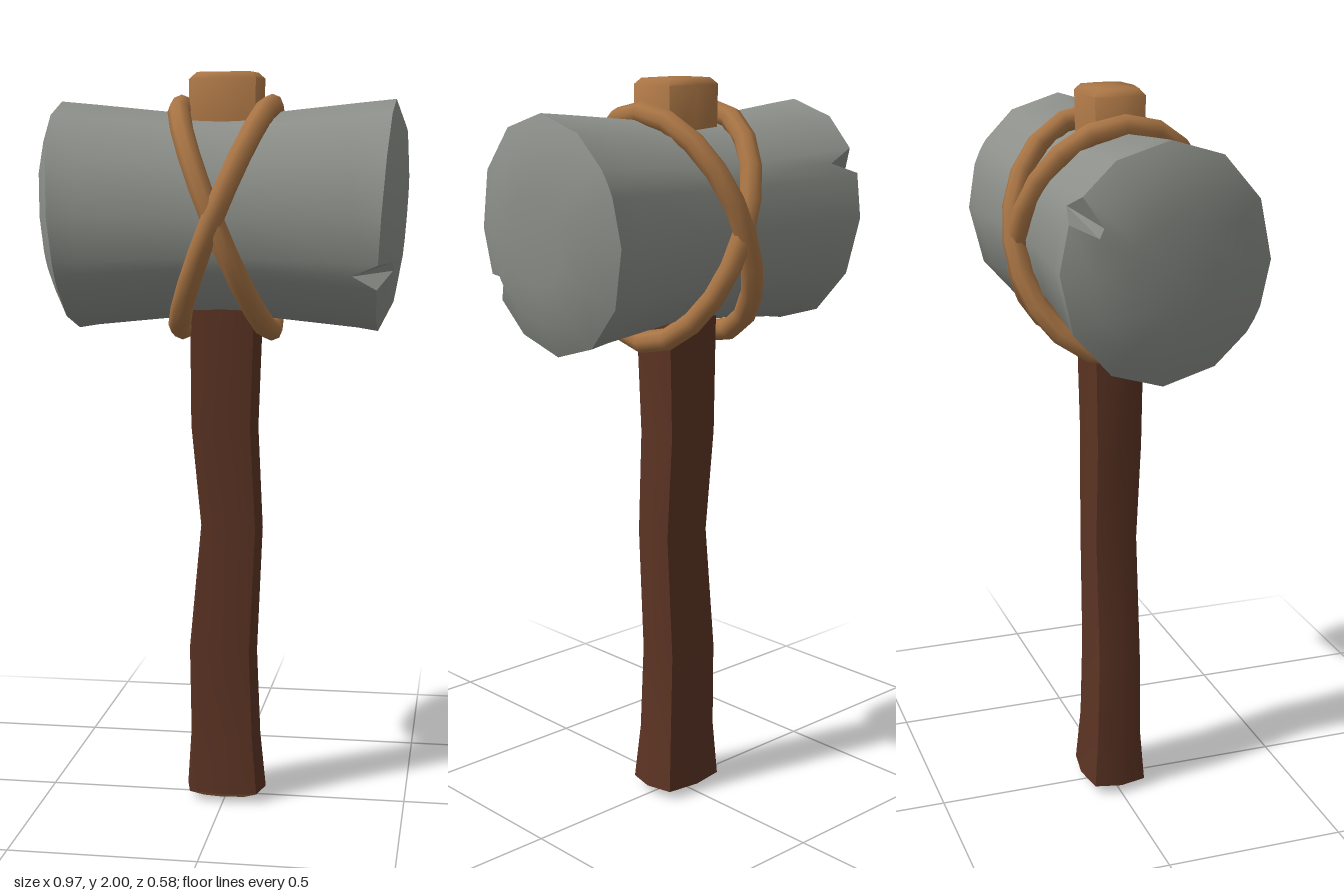
import * as THREE from 'three';
import { toCreasedNormals } from 'three/addons/utils/BufferGeometryUtils.js';

const V = (x, y, z) => new THREE.Vector3(x, y, z);

// Skins a list of closed rings; collapsed triangles are left out.
function loft(rings, crease) {
  const pos = [];
  const tri = (a, b, c) => {
    const area = b.clone().sub(a).cross(c.clone().sub(a)).length();
    if (area > 1e-7) for (const p of [a, b, c]) pos.push(p.x, p.y, p.z);
  };
  for (let i = 0; i < rings.length - 1; i++) {
    const r = rings[i], q = rings[i + 1], n = r.length;
    for (let j = 0; j < n; j++) {
      const k = (j + 1) % n;
      tri(r[j], q[j], r[k]);
      tri(r[k], q[j], q[k]);
    }
  }
  const geo = new THREE.BufferGeometry();
  geo.setAttribute('position', new THREE.Float32BufferAttribute(pos, 3));
  return toCreasedNormals(geo, crease);
}

// Eight-sided, slightly squared ring for the wooden parts.
function woodRing([y, cx, rx, rz]) {
  const soft = (v) => Math.sign(v) * Math.sqrt(Math.abs(v) < 1e-6 ? 0 : Math.abs(v));
  return Array.from({ length: 8 }, (_, i) => {
    const a = (i / 8) * Math.PI * 2;
    return V(cx + rx * soft(Math.cos(a)), y, rz * soft(Math.sin(a)));
  });
}

// Stone head along x: flared ends, tilted rims, shallow domed faces, two chips.
function headGeometry() {
  const yc = 1.62;
  const degrees = [0, 30, 60, 90, 120, 143, 150, 157, 180, 210, 240, 270, 300, 323, 330, 337];
  const ring = (ry, rz, xAt) => degrees.map((d) => {
    const a = THREE.MathUtils.degToRad(d);
    const dy = ry * Math.sin(a);
    return V(xAt(dy), yc + dy, rz * Math.cos(a));
  });
  const end = (s, chipAngle) => {
    const face = (k, bulge) => ring(0.305 * k, 0.27 * k, (dy) => s * (0.43 + 0.067 * dy + bulge));
    const neck = ring(0.296, 0.263, () => s * 0.355);
    const rim = face(1, 0);
    const chip = degrees.indexOf(chipAngle);
    rim[chip] = neck[chip].clone(); // pulls the rim back into a wedge-shaped chip
    return [ring(0.27, 0.238, () => s * 0.1), neck, rim, face(0.74, 0.035), face(0.4, 0.047), face(0, 0.05)];
  };
  return loft([...end(-1, 150).reverse(), ...end(1, 330)], 0.62);
}

// Closed cord loop, leaning to one side.
function loopGeometry(lean, rz) {
  const pts = Array.from({ length: 16 }, (_, i) => {
    const a = (i / 16) * Math.PI * 2;
    return V(lean * 0.122 * Math.cos(a), 1.613 + 0.298 * Math.cos(a), rz * Math.sin(a));
  });
  return new THREE.TubeGeometry(new THREE.CatmullRomCurve3(pts, true), 20, 0.03, 8, true);
}

export function createModel() {
  const group = new THREE.Group();
  const mat = (name, color) => Object.assign(new THREE.MeshStandardMaterial({ color }), { name });
  const stone = mat('stone', 0x8d908a);
  const bark = mat('dark wood', 0x5b3323);
  const wood = mat('cut wood and cord', 0xa87444);
  const add = (name, geo, material) => {
    const mesh = new THREE.Mesh(geo, material);
    mesh.name = name;
    group.add(mesh);
  };

  add('stoneHead', headGeometry(), stone);

  // Crooked shaft: height, sideways shift, half width, half depth
  const shaft = [
    [0.025, 0, 0.111, 0.088], [0.18, -0.003, 0.098, 0.075], [0.42, -0.01, 0.095, 0.071],
    [0.77, 0.014, 0.086, 0.069], [1.05, -0.006, 0.093, 0.073], [1.45, 0, 0.102, 0.08],
  ];
  add('handle', loft(shaft.map(woodRing), 1.0), bark);
  add('handleEnd', loft([[0, 0, 0, 0], [0.006, 0, 0.07, 0.055], shaft[0]].map(woodRing), 1.0), wood);

  // Handle tip standing out of the head
  const tip = [[1.8, 0, 0.1, 0.078], [1.98, 0, 0.103, 0.08], [1.996, 0, 0.085, 0.065], [2, 0, 0, 0]];
  add('handleTip', loft(tip.map(woodRing), 0.95), wood);

  // Crossed binding
  add('cordRight', loopGeometry(1, 0.26), wood);
  add('cordLeft', loopGeometry(-1, 0.25), wood);
  return group;
}
